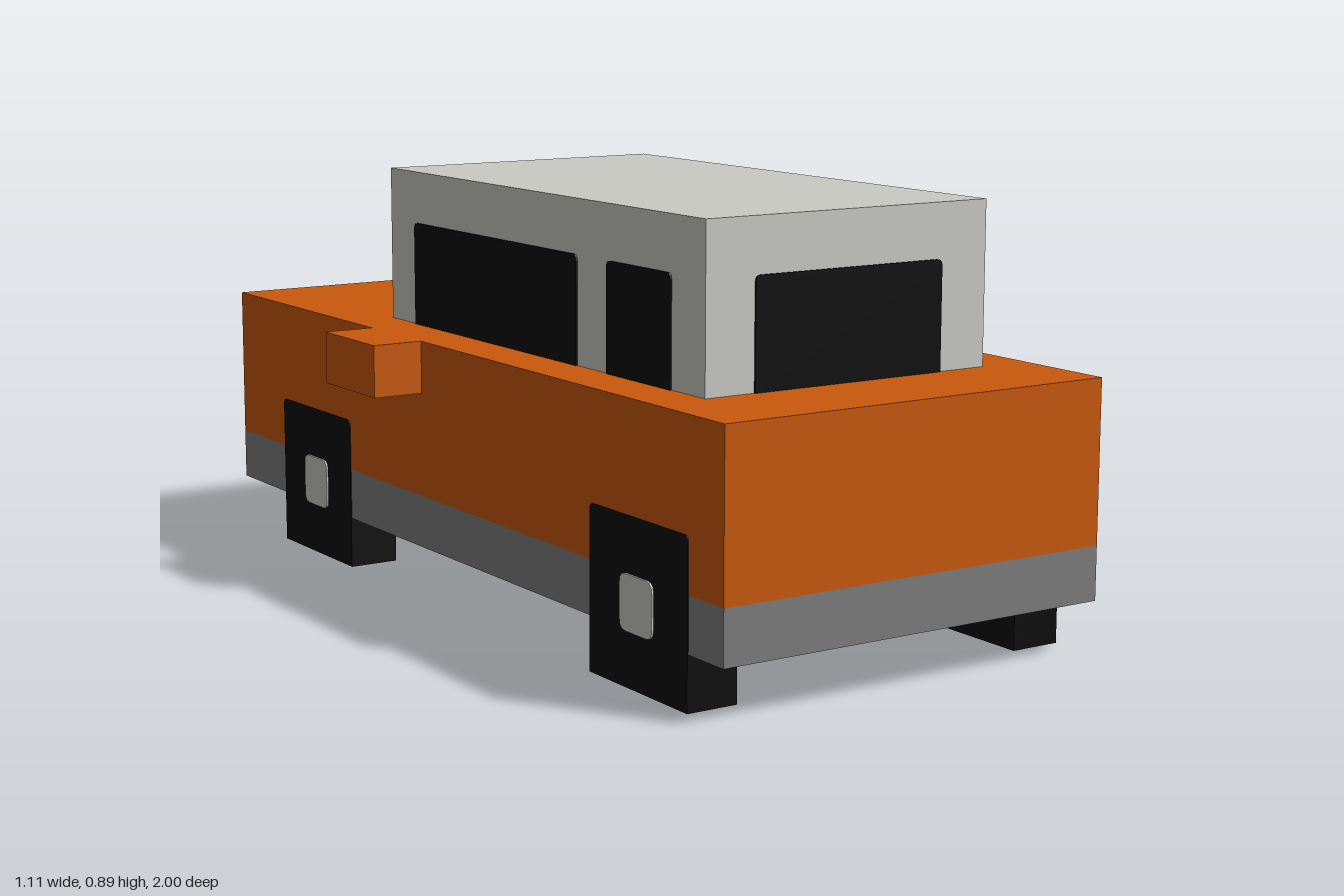
import * as THREE from 'three';

const U = 1 / 9; // block unit
const THIN = 0.004; // thickness of painted plates

const mat = (name, color) => {
  const m = new THREE.MeshStandardMaterial({ color });
  m.name = name;
  return m;
};

// Panel outline in block units, with small corner radii at the bottom and top
function panelShape(x0, x1, y0, y1, rBottom, rTop) {
  const [l, r, b, t] = [x0 * U, x1 * U, y0 * U, y1 * U];
  const s = new THREE.Shape();
  s.moveTo(l + rBottom, b).lineTo(r - rBottom, b);
  s.quadraticCurveTo(r, b, r, b + rBottom).lineTo(r, t - rTop);
  s.quadraticCurveTo(r, t, r - rTop, t).lineTo(l + rTop, t);
  s.quadraticCurveTo(l, t, l, t - rTop).lineTo(l, b + rBottom);
  s.quadraticCurveTo(l, b, l + rBottom, b);
  return s;
}

export function createModel() {
  const car = new THREE.Group();
  car.name = 'car';
  const orange = mat('orange paint', 0xc9590d);
  const grey = mat('grey sill', 0x7e7e7e);
  const pale = mat('pale grey', 0xcacac5);
  const black = mat('black', 0x0d0d0d);

  const add = (name, geometry, material) => {
    const mesh = new THREE.Mesh(geometry, material);
    mesh.name = name;
    car.add(mesh);
    return mesh;
  };

  // Box from its limits in block units
  const box = (name, material, x0, x1, y0, y1, z0, z1) =>
    add(name, new THREE.BoxGeometry((x1 - x0) * U, (y1 - y0) * U, (z1 - z0) * U), material)
      .position.set((x0 + x1) * U / 2, (y0 + y1) * U / 2, (z0 + z1) * U / 2);

  // Panel standing `out` from the centre, facing the heading `angle` about y
  const panel = (name, material, shape, angle, out, depth = THIN) => {
    const g = new THREE.ExtrudeGeometry(shape, { depth, bevelEnabled: false, curveSegments: 3 });
    g.translate(0, 0, out - depth).rotateY(angle);
    add(name, g, material);
  };

  // Body and cabin
  box('sill', grey, -4, 4, 1, 2, -9, 9);
  box('body', orange, -4, 4, 2, 5, -9, 9);
  box('cabin', pale, -3, 3, 5, 8, -4, 7);

  // Front and rear windows
  const screen = panelShape(-2, 2, 5, 7, 0, 0.012);
  panel('windscreen', black, screen, 0, 7 * U + THIN);
  panel('rearWindow', black, screen, Math.PI, 4 * U + THIN);

  // Rear lamps
  for (const x of [-3, 2]) {
    panel('rearLamp', pale, panelShape(x, x + 1, 3, 4, 0.02, 0.02), Math.PI, 9 * U + THIN);
  }

  for (const side of [-1, 1]) {
    const prefix = side > 0 ? 'left' : 'right';
    const angle = side * Math.PI / 2;
    // Panel on this flank, spanning z0 to z1
    const flank = (name, material, z0, z1, y0, y1, rb, rt, out, depth) => {
      const [a, b] = side > 0 ? [-z1, -z0] : [z0, z1];
      panel(prefix + name, material, panelShape(a, b, y0, y1, rb, rt), angle, out, depth);
    };

    // Side windows
    flank('FrontSideWindow', black, 4, 6, 5, 7, 0, 0.012, 3 * U + THIN);
    flank('RearSideWindow', black, -3, 3, 5, 7, 0, 0.012, 3 * U + THIN);

    // Wheels with hubs
    for (const [end, z] of [['Front', 5], ['Rear', -7]]) {
      flank(end + 'Wheel', black, z, z + 3, 0, 3, 0, 0.012, 4 * U + THIN / 2, U);
      flank(end + 'Hub', pale, z + 1, z + 2, 1, 2, 0.02, 0.02, 4 * U + THIN * 1.5);
    }

    // Side block standing out from the body
    box(prefix + 'SideBlock', orange, side * 4.5 - 0.5, side * 4.5 + 0.5, 4, 5, -3, -1);
  }

  return car;
}
